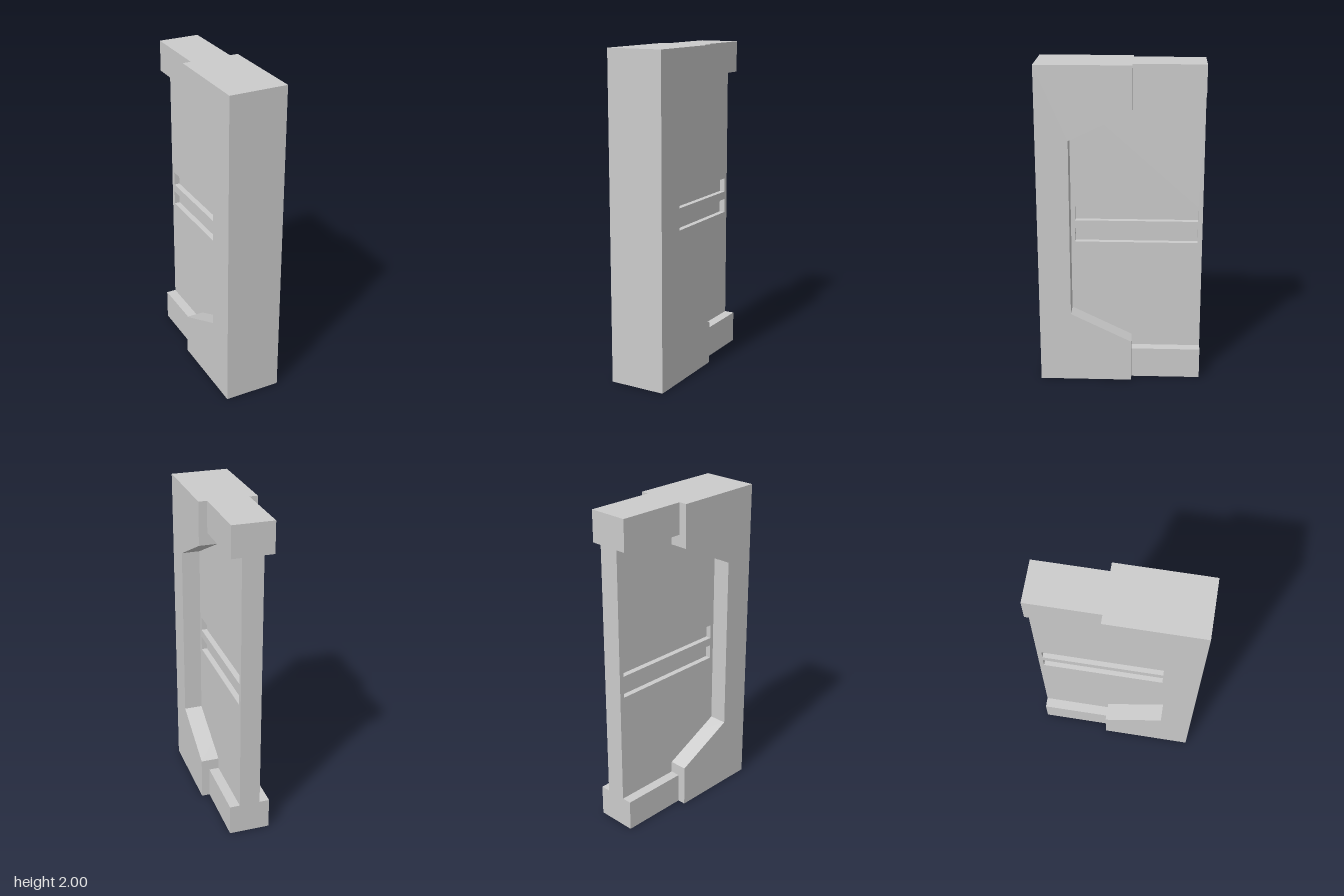
import * as THREE from 'three';

const material = new THREE.MeshStandardMaterial({ color: 0xcccccc, flatShading: true });

const outline = (points, Type = THREE.Shape) =>
  new Type(points.map(([z, y]) => new THREE.Vector2(z, y)));

const rect = (z0, z1, y0, y1) => [[z0, y0], [z1, y0], [z1, y1], [z0, y1]];

// Extrudes a (z, y) outline along x, from x0 to x1
function slab(name, shape, x0, x1) {
  const geometry = new THREE.ExtrudeGeometry(shape, { depth: x1 - x0, bevelEnabled: false });
  geometry.rotateY(-Math.PI / 2).translate(x1, 0, 0);
  const mesh = new THREE.Mesh(geometry, material);
  mesh.name = name;
  return mesh;
}

export function createModel() {
  const model = new THREE.Group();
  model.name = 'slottedBlock';

  const bodyHalf = 0.177, endHalf = 0.126, panelHalf = 0.064, coreHalf = 0.029;
  const back = -0.5, step = -0.07, recess = 0.305;
  const panelBottom = 0.195, panelTop = 1.81;

  // Thick front body with a bevelled notch open to the back
  const body = outline([
    [0.5, 0], [0.5, 2], [step, 2], [step, 1.737], [recess, 1.555],
    [recess, 0.45], [step, 0.267], [step, 0],
  ]);
  model.add(slab('frontBody', body, -bodyHalf, bodyHalf));

  // Narrower blocks at the back corners
  model.add(slab('lowerEndBlock', outline(rect(back, step, 0, panelBottom)), -endHalf, endHalf));
  model.add(slab('upperEndBlock', outline(rect(back, step, panelTop, 2)), -endHalf, endHalf));

  // Thin panel: solid core with a slotted skin on each side
  const panel = rect(back, recess, panelBottom, panelTop);
  model.add(slab('panelCore', outline(panel), -coreHalf, coreHalf));
  const skin = outline(panel);
  for (const y of [0.89, 1.028]) {
    skin.holes.push(outline(rect(-0.472, 0.28, y, y + 0.088), THREE.Path));
  }
  model.add(slab('leftSlottedSkin', skin, coreHalf, panelHalf));
  model.add(slab('rightSlottedSkin', skin, -panelHalf, -coreHalf));

  return model;
}
